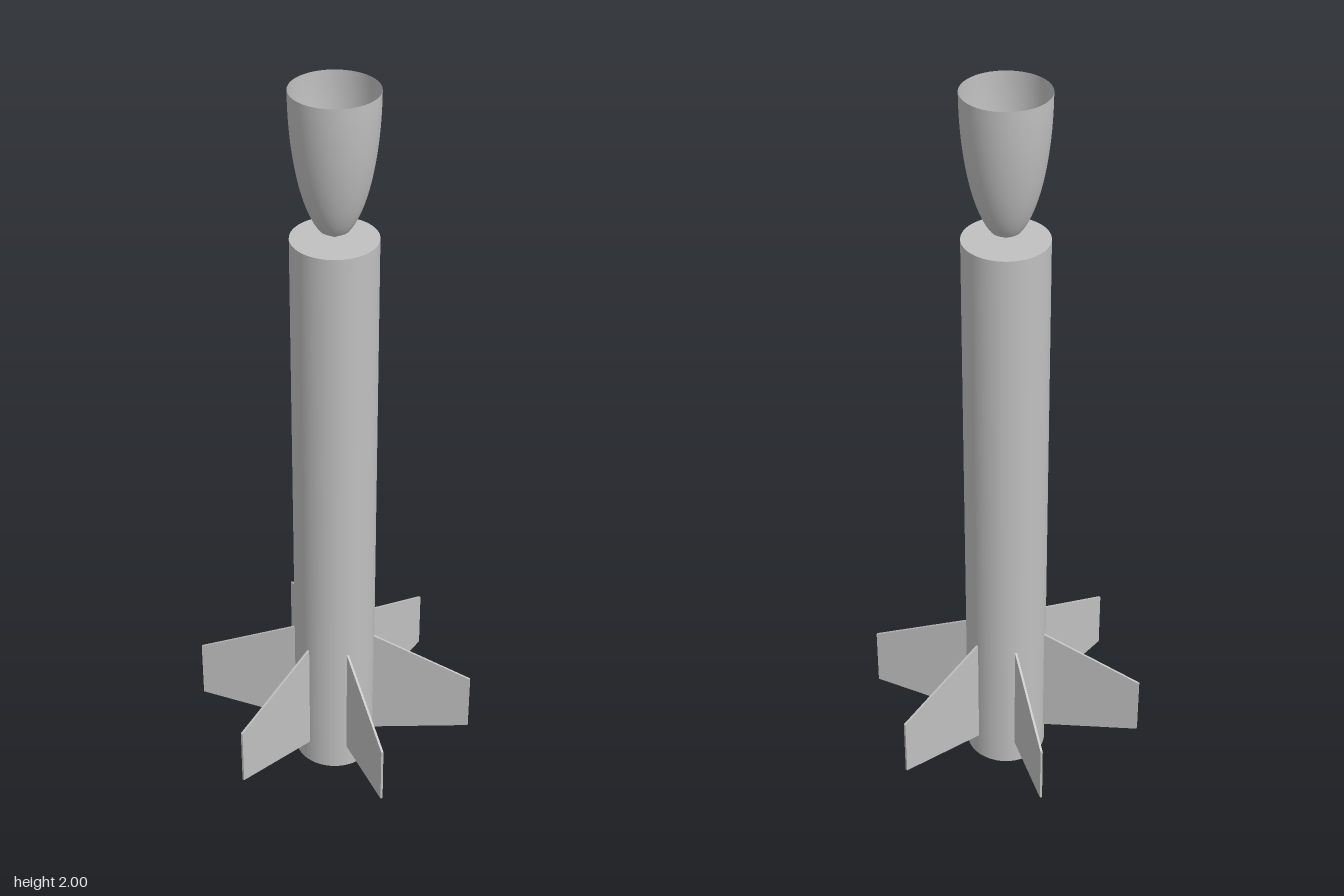
import * as THREE from 'three';

export function createModel() {
  const model = new THREE.Group();
  const grey = new THREE.MeshStandardMaterial({ color: 0xc0c0c0 });
  grey.name = 'light grey';
  const shellGrey = grey; // one colour throughout
  shellGrey.side = THREE.DoubleSide; // the nose shell is open and thin
  const R = 0.109;

  const add = (name, geometry, parent = model) => {
    const mesh = new THREE.Mesh(geometry, grey);
    mesh.name = name;
    parent.add(mesh);
    return mesh;
  };

  // Body tube, closed at both ends
  add('bodyTube', new THREE.CylinderGeometry(R, R, 1.62, 64)).position.y = 0.81;

  // Upturned hollow nose cone with an elliptical profile, open at the top
  const tipY = 1.622, length = 2 - tipY;
  const profile = [];
  for (let i = 0; i <= 24; i++) {
    const a = 0.345 + (Math.PI / 2 - 0.345) * (i / 24);
    profile.push(new THREE.Vector2(R * Math.sin(a), tipY + length * (1 - Math.cos(a))));
  }
  add('noseCone', new THREE.LatheGeometry(profile, 64));

  // Shallow conical tip closing the nose
  add('noseTip', new THREE.LatheGeometry([new THREE.Vector2(0, tipY), profile[0]], 64));

  // Six swept fins around the tail
  const outline = new THREE.Shape([
    new THREE.Vector2(R - 0.003, 0.07),
    new THREE.Vector2(0.378, 0.122),
    new THREE.Vector2(0.378, 0.29),
    new THREE.Vector2(R - 0.003, 0.405),
  ]);
  const thickness = 0.006;
  const finGeometry = new THREE.ExtrudeGeometry(outline, { depth: thickness, bevelEnabled: false });
  finGeometry.translate(0, 0, -thickness / 2);
  const fins = new THREE.Group();
  fins.name = 'fins';
  for (let i = 0; i < 6; i++) {
    add('fin', finGeometry, fins).rotation.y = Math.PI / 6 + (i * Math.PI) / 3;
  }
  model.add(fins);

  // Small launch lug on the left side
  add('launchLug', new THREE.CylinderGeometry(0.006, 0.006, 0.09, 16)).position.set(0.115, 0.182, 0);

  return model;
}
